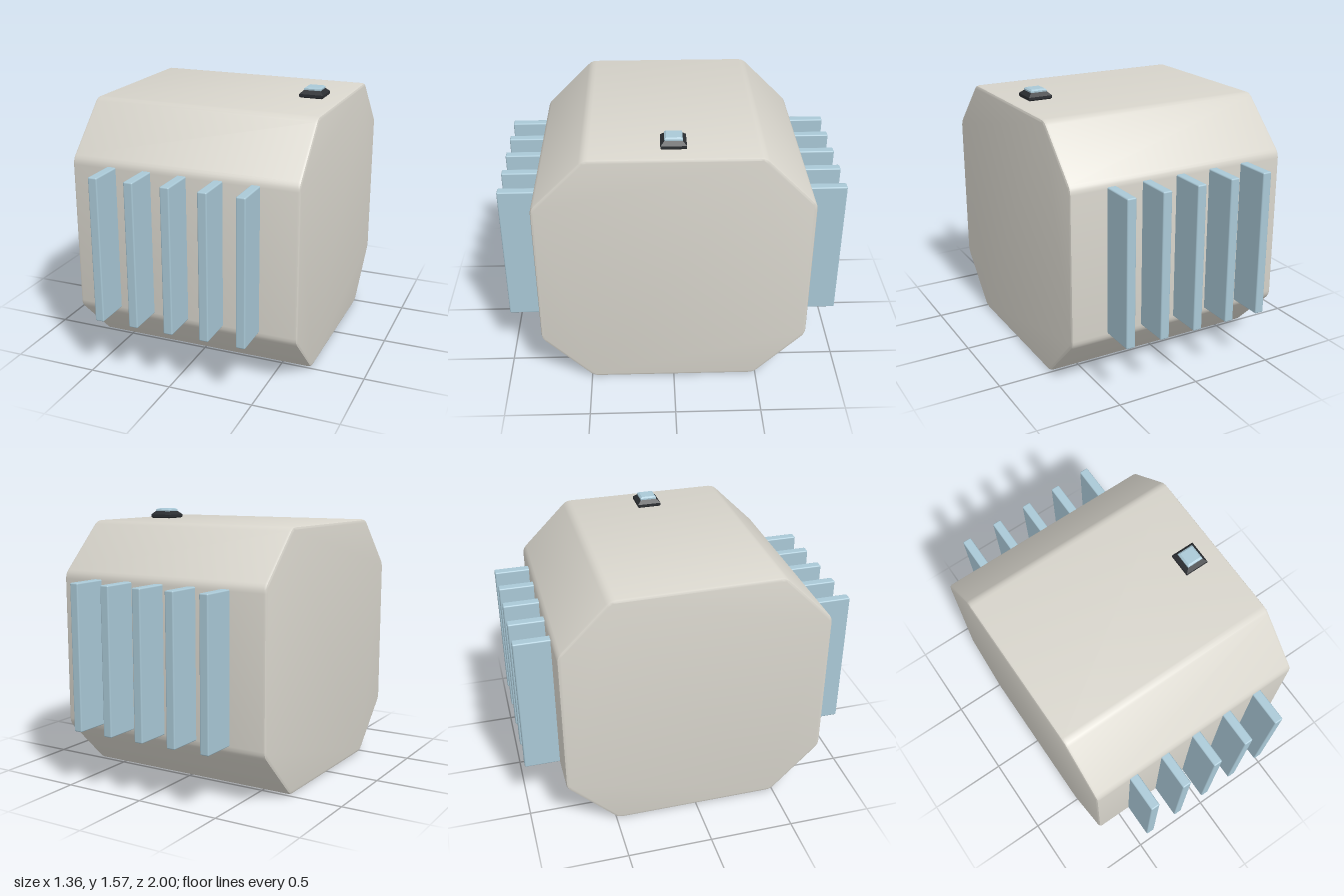
import * as THREE from 'three';
import { RoundedBoxGeometry } from 'three/addons/geometries/RoundedBoxGeometry.js';
import { toCreasedNormals } from 'three/addons/utils/BufferGeometryUtils.js';

const shellMaterial = new THREE.MeshStandardMaterial({ color: 0xd8d5cc });
const blueMaterial = new THREE.MeshStandardMaterial({ color: 0xa9c8d6 });
const darkMaterial = new THREE.MeshStandardMaterial({ color: 0x2b2e32 });

function addMesh(parent, name, geometry, material) {
  const mesh = new THREE.Mesh(geometry, material);
  mesh.name = name;
  parent.add(mesh);
  return mesh;
}

// Closed polygon whose corners are softened with short curves
function roundedPolygon(corners, cut) {
  const points = corners.map(([x, y]) => new THREE.Vector2(x, y));
  const towards = (a, b) => a.clone().add(b.clone().sub(a).setLength(cut));
  const shape = new THREE.Shape();
  points.forEach((p, i) => {
    const start = towards(p, points.at(i - 1));
    const end = towards(p, points[(i + 1) % points.length]);
    if (i === 0) shape.moveTo(start.x, start.y);
    else shape.lineTo(start.x, start.y);
    shape.quadraticCurveTo(p.x, p.y, end.x, end.y);
  });
  shape.closePath();
  return shape;
}

// Square turned solid from [half width, height] steps
function squareLathe(profile) {
  const points = profile.map(([half, y]) => new THREE.Vector2(half * Math.SQRT2, y));
  return toCreasedNormals(new THREE.LatheGeometry(points, 4, Math.PI / 4), 0.1);
}

export function createModel() {
  const model = new THREE.Group();
  model.name = 'finnedHousing';

  // Eight-sided housing lying along x, with softened edges
  const bevel = 0.015;
  const halfDepth = 0.79 - bevel, halfHeight = 0.755 - bevel;
  const flatZ = 0.484, flatY = 0.449;
  const octagon = roundedPolygon([
    [flatZ, -halfHeight], [halfDepth, -flatY], [halfDepth, flatY], [flatZ, halfHeight],
    [-flatZ, halfHeight], [-halfDepth, flatY], [-halfDepth, -flatY], [-flatZ, -halfHeight],
  ], 0.025);
  const length = 1.36 - 2 * bevel;
  const housing = new THREE.ExtrudeGeometry(octagon, {
    depth: length, bevelEnabled: true, bevelThickness: bevel, bevelSize: bevel,
    bevelSegments: 2, curveSegments: 3,
  });
  housing.translate(0, 0, -length / 2).rotateY(Math.PI / 2).translate(0, 0.755, 0);
  addMesh(model, 'housing', toCreasedNormals(housing, 0.5), shellMaterial);

  // Five cooling fins on the front and five on the back
  const fin = new RoundedBoxGeometry(0.055, 0.86, 0.24, 2, 0.008);
  for (const side of [1, -1]) {
    const fins = new THREE.Group();
    fins.name = side > 0 ? 'frontFins' : 'backFins';
    for (let i = -2; i <= 2; i++) {
      addMesh(fins, 'fin', fin, blueMaterial).position.set(i * 0.216, 0.76, side * 0.88);
    }
    model.add(fins);
  }

  // Small indicator near the left end of the top
  const indicator = new THREE.Group();
  indicator.name = 'indicator';
  indicator.position.set(0.5, 1.51, 0);
  addMesh(indicator, 'indicatorBase', squareLathe(
    [[0, -0.005], [0.06, -0.005], [0.072, 0.007], [0.072, 0.022], [0.05, 0.043], [0, 0.043]]), darkMaterial);
  addMesh(indicator, 'indicatorLamp', squareLathe(
    [[0, 0.03], [0.05, 0.03], [0.05, 0.052], [0.04, 0.06], [0, 0.06]]), blueMaterial);
  model.add(indicator);

  return model;
}
